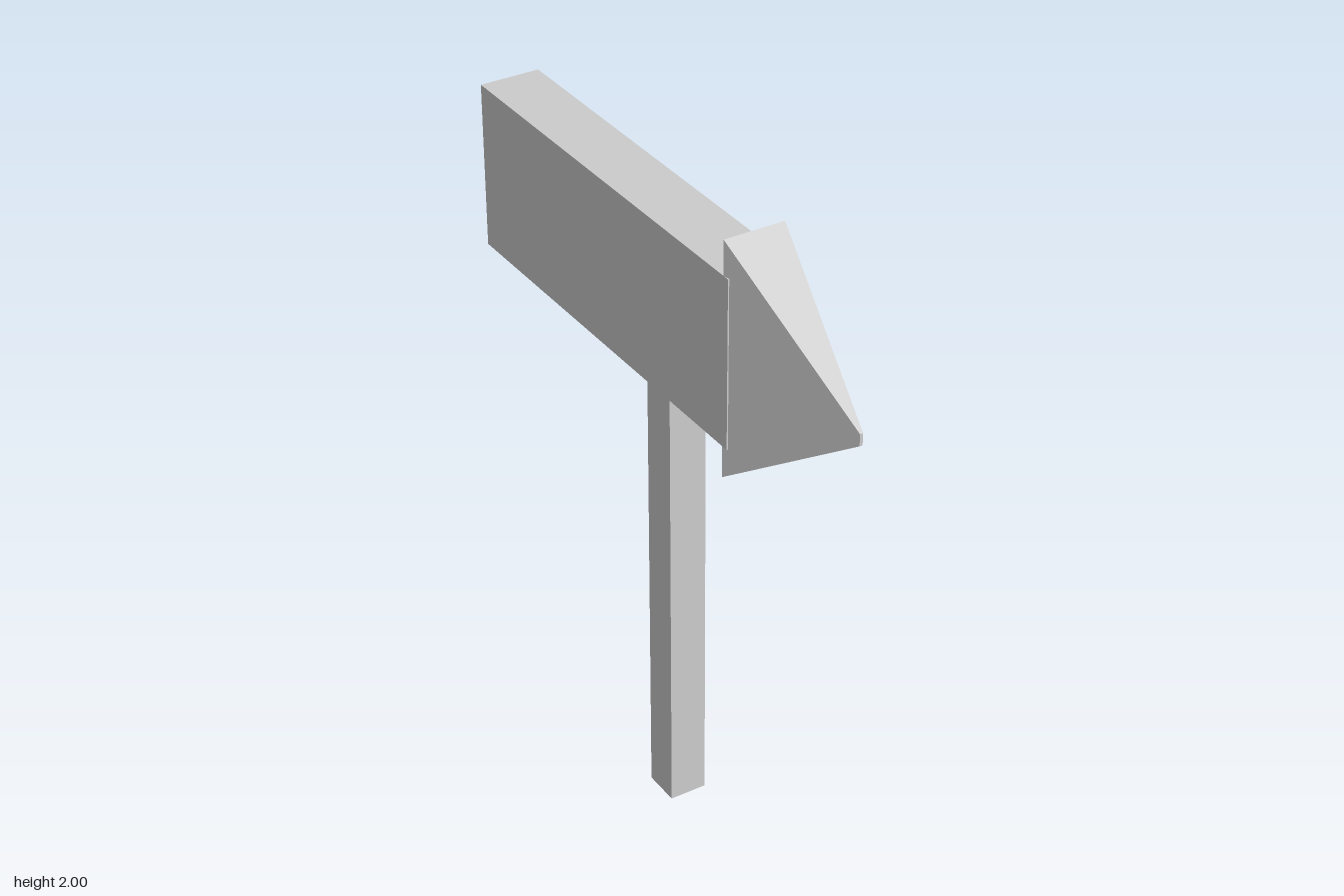
import * as THREE from 'three';

export function createModel() {
  const group = new THREE.Group();
  const material = new THREE.MeshStandardMaterial({ color: 0xcccccc, flatShading: true });

  // Box given by its lowest and highest corners
  const addBox = (name, min, max) => {
    const size = max.map((v, i) => v - min[i]);
    const mesh = new THREE.Mesh(new THREE.BoxGeometry(...size), material);
    mesh.position.set(...max.map((v, i) => (v + min[i]) / 2));
    mesh.name = name;
    group.add(mesh);
    return mesh;
  };

  // Square post standing beside the board
  addBox('post', [0.026, 0, -0.251], [0.131, 1.74, -0.146]);

  // Sign board, running slightly into the arrow head
  addBox('board', [-0.133, 1.465, -0.765], [0.028, 1.91, 0.36]);

  // Arrow head: a box whose front end narrows to a small blunt tip
  const head = addBox('arrowHead', [-0.133, 1.38, 0.341], [0.027, 2, 0.767]);
  const pos = head.geometry.attributes.position;
  for (let i = 0; i < pos.count; i++) {
    if (pos.getZ(i) > 0) {
      pos.setX(i, pos.getX(i) * 0.05);
      pos.setY(i, pos.getY(i) * 0.05);
    }
  }
  head.geometry.computeVertexNormals();

  return group;
}
